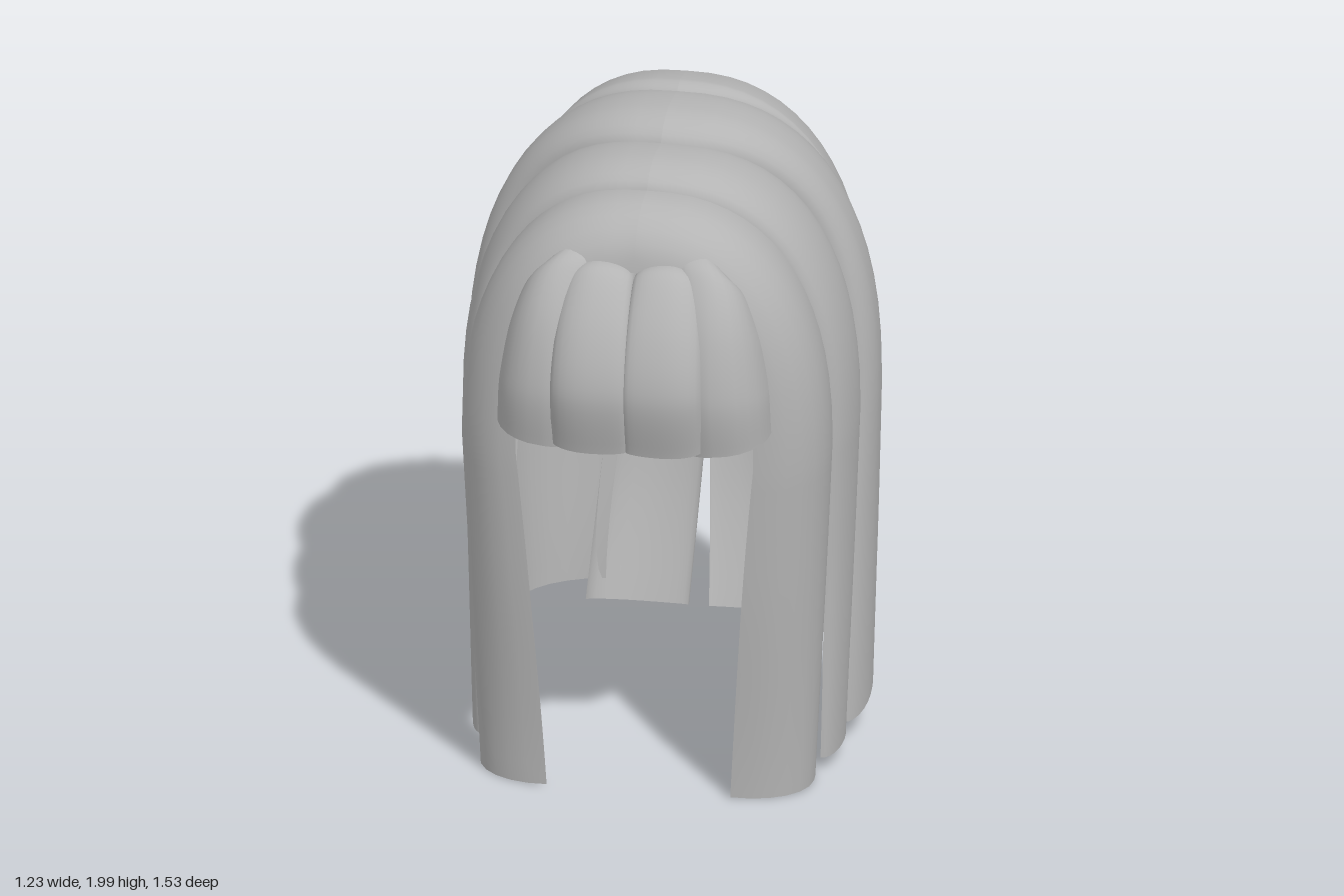
import * as THREE from 'three';

const hair = new THREE.MeshStandardMaterial({ color: 0xb4b4b4, side: THREE.DoubleSide });
hair.name = 'hair grey';

const ACROSS = 12, ALONG = 32;

// Smooth curve through evenly spaced keys, each a list of numbers
function sample(keys, t) {
  const n = keys.length - 1, i = Math.min(n - 1, Math.floor(t * n)), f = t * n - i;
  const [a, b, c, d] = [-1, 0, 1, 2].map(k => keys[Math.min(n, Math.max(0, i + k))]);
  return b.map((v, m) => 0.5 * (2 * v + (c[m] - a[m]) * f
    + (2 * a[m] - 5 * v + 4 * c[m] - d[m]) * f * f
    + (3 * v - a[m] - 3 * c[m] + d[m]) * f * f * f));
}

// Path from the parting over the rounded head, then straight down to the tip
function drape(top, width, tipX, tipY, shoulder = 1.1) {
  return t => {
    if (t > 0.5) {
      const f = 2 * t - 1;
      return [width + (tipX - width) * f, shoulder + (tipY - shoulder) * f];
    }
    const a = t * Math.PI;
    return [width * Math.sin(a) ** 0.87,
      shoulder + (top - shoulder) * Math.max(0, Math.cos(a)) ** 0.87];
  };
}

// Maps (along p, height q, across w) into model space
const PLACE = {
  side: (p, q, w, s) => [s * p, q, w],
  front: (p, q, w, s) => [s * w, q, p],
  back: (p, q, w, s) => [s * w, q, -p],
};

// Curved ribbon of hair; each section is [edge, crest, edge, inset, inset] across it
function lock(facing, s, path, sections, slope) {
  const pos = [], index = [], W = ACROSS + 1;
  for (let i = 0; i <= ALONG; i++) {
    const u = i / ALONG, [p, q] = path(u);
    const a = path(Math.max(0, u - 0.03)), b = path(Math.min(1, u + 0.03));
    const len = Math.hypot(b[0] - a[0], b[1] - a[1]);
    const inP = (b[1] - a[1]) / len, inQ = (a[0] - b[0]) / len;
    const [w0, crest, w1, in0, in1] = sample(sections, u);
    for (let j = 0; j <= ACROSS; j++) {
      const th = (j / ACROSS - 0.5) * Math.PI, sn = Math.sin(th);
      const w = crest + sn * (sn < 0 ? crest - w0 : w1 - crest);
      const d = (sn < 0 ? in0 : in1) * (1 - Math.cos(th));
      const tilt = slope * u ** 6 * (sn + 1) / 2;
      // ribbons that start at the parting never cross the centre line
      const along = facing === 'side' ? Math.max(0, p + inP * d) : p + inP * d;
      pos.push(...PLACE[facing](along, q + inQ * d + tilt, w, s));
    }
  }
  const flip = (s < 0) !== (facing === 'back');
  for (let i = 0; i < ALONG; i++) {
    for (let j = 0; j < ACROSS; j++) {
      const a = i * W + j, b = a + W, c = a + 1, d = b + 1;
      if (flip) index.push(a, c, b, b, c, d);
      else index.push(a, b, c, b, d, c);
    }
  }
  const g = new THREE.BufferGeometry();
  g.setAttribute('position', new THREE.Float32BufferAttribute(pos, 3));
  g.setIndex(index);
  g.computeVertexNormals();
  return new THREE.Mesh(g, hair);
}

export function createModel() {
  const model = new THREE.Group();
  model.name = 'longHairWithFringe';

  const addPair = (name, facing, path, sections, slope = 0) => {
    for (const s of [1, -1]) {
      const mesh = lock(facing, s, path, sections, slope);
      mesh.name = (s > 0 ? 'left' : 'right') + name;
      model.add(mesh);
    }
  };
  const through = (...points) => t => sample(points, t);

  // Long lock framing the face
  addPair('FrontLock', 'side', drape(1.895, 0.55, 0.5, 0.005), [
    [0.56, 0.38, 0.2, 0.17, 0.05], [0.565, 0.36, 0.18, 0.18, 0.05],
    [0.54, 0.34, 0.18, 0.21, 0.04], [0.485, 0.33, 0.22, 0.225, 0.04]], 0.03);

  // Lock over the ear
  addPair('SideLock', 'side', drape(1.95, 0.59, 0.555, 0.055), [
    [0.34, 0.2, 0.02, 0.07, 0.05], [0.26, 0.1, -0.07, 0.06, 0.05],
    [0.24, 0.09, -0.05, 0.06, 0.05], [0.25, 0.12, 0.01, 0.05, 0.05]], 0.02);

  // Widest lock, across the crown
  addPair('CrownLock', 'side', drape(2, 0.615, 0.595, 0.08), [
    [0.1, -0.04, -0.24, 0.08, 0.05], [-0.035, -0.13, -0.37, 0.06, 0.11],
    [0, -0.13, -0.37, 0.06, 0.1], [0.04, -0.1, -0.26, 0.06, 0.05]], 0.07);

  // Lock wrapping from the crown round the back corner
  addPair('RearSideLock', 'side', drape(2, 0.555, 0.5, 0.28), [
    [-0.18, -0.24, -0.62, 0.03, 0.5], [-0.31, -0.31, -0.625, 0.02, 0.38],
    [-0.32, -0.32, -0.63, 0.02, 0.31], [-0.3, -0.32, -0.57, 0.02, 0.22]], -0.08);

  // Full length lock beside the rear centre line
  addPair('BackLock', 'back', through([0.41, 1.9], [0.575, 1.77], [0.68, 1.4],
    [0.763, 0.95], [0.705, 0.53], [0.58, 0.145]), [
    [0, 0.08, 0.25, 0.015, 0.06], [0, 0.09, 0.27, 0.015, 0.09],
    [0, 0.1, 0.28, 0.02, 0.13], [0.03, 0.17, 0.33, 0.02, 0.08]]);

  // Shorter layers beneath the back locks
  addPair('InnerBackLock', 'back', through([0.42, 1.75], [0.54, 1.4], [0.58, 0.93]), [
    [0, 0.04, 0.08, 0.02, 0.02], [0, 0.05, 0.1, 0.02, 0.02]]);
  addPair('InnerCornerLock', 'back', through([0.4, 1.7], [0.52, 1.4], [0.56, 0.94]), [
    [0.1, 0.16, 0.28, 0.02, 0.1], [0.12, 0.22, 0.35, 0.02, 0.14]], -0.05);

  // Fringe, middle and outer locks
  addPair('FringeLock', 'front', through([0.5, 1.75], [0.6, 1.74], [0.71, 1.59],
    [0.763, 1.4], [0.725, 1.205]), [
    [0, 0.1, 0.17, 0.06, 0.05], [0, 0.11, 0.22, 0.025, 0.06], [0, 0.11, 0.23, 0.02, 0.06]]);
  addPair('OuterFringeLock', 'front', through([0.48, 1.79], [0.58, 1.745], [0.67, 1.59],
    [0.712, 1.38], [0.69, 1.195]), [
    [0.1, 0.17, 0.22, 0.03, 0.06], [0.15, 0.23, 0.335, 0.03, 0.12],
    [0.18, 0.25, 0.395, 0.03, 0.16], [0.19, 0.26, 0.41, 0.03, 0.14]], 0.02);

  return model;
}
